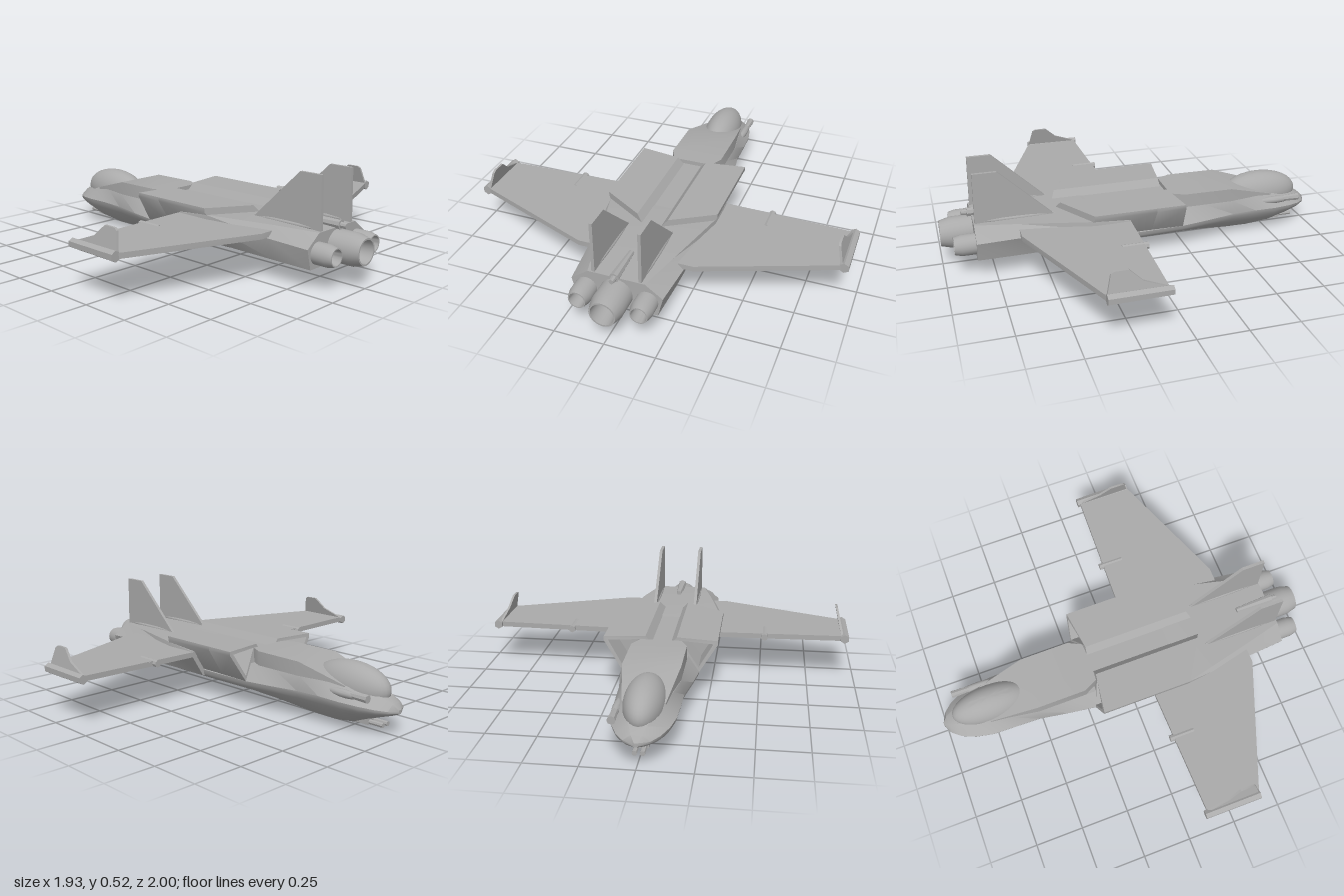
import * as THREE from 'three';
import { toCreasedNormals } from 'three/addons/utils/BufferGeometryUtils.js';

const hullGrey = new THREE.MeshStandardMaterial({ color: 0xaaaaaa, side: THREE.DoubleSide });
hullGrey.name = 'hullGrey';

// Skin a list of rings (counter-clockwise seen from +z, ordered by rising z)
function loft(rings) {
  const n = rings[0].length, pos = rings.flat(2), idx = [];
  for (let i = 0; i < rings.length - 1; i++)
    for (let j = 0; j < n; j++) {
      const a = i * n + j, b = i * n + (j + 1) % n;
      idx.push(a, b, b + n, a, b + n, a + n);
    }
  const e = (rings.length - 1) * n;
  for (let j = 1; j < n - 1; j++) idx.push(0, j + 1, j, e, e + j, e + j + 1);
  const g = new THREE.BufferGeometry();
  g.setAttribute('position', new THREE.Float32BufferAttribute(pos, 3));
  g.setIndex(idx);
  return g;
}

// Full ring from its right half, listed bottom to top as [x, y]
const ring = (z, half) => [
  ...half.map(([x, y]) => [x, y, z]),
  ...half.slice().reverse().map(([x, y]) => [-x, y, z]),
];

const shape = (pts) => new THREE.Shape(pts.map(([a, b]) => new THREE.Vector2(a, b)));
const extrude = (s, depth) => new THREE.ExtrudeGeometry(s, { depth, bevelEnabled: false });

// Flat plate from an [x, z] outline, with its top at y
const flatPlate = (pts, y, t) => extrude(shape(pts), t).rotateX(Math.PI / 2).translate(0, y, 0);
// Upright plate from a [z, y] outline, centred on x
const sidePlate = (pts, x, t) =>
  extrude(shape(pts), t).translate(0, 0, -t / 2).rotateY(-Math.PI / 2).translate(x, 0, 0);
// Rod along z
const rod = (r0, r1, z0, z1, x, y, sides = 12) =>
  new THREE.CylinderGeometry(r1, r0, z1 - z0, sides).rotateX(Math.PI / 2).translate(x, y, (z0 + z1) / 2);
const box = (w, h, d, x, y, z) => new THREE.BoxGeometry(w, h, d).translate(x, y, z);

function bend(g, rule) {
  const p = g.attributes.position;
  for (let i = 0; i < p.count; i++) {
    const v = new THREE.Vector3().fromBufferAttribute(p, i);
    rule(v);
    p.setXYZ(i, v.x, v.y, v.z);
  }
  return g;
}

function mirrored(geo) {
  const g = geo.index ? geo.toNonIndexed() : geo.clone();
  const p = g.attributes.position, a = p.array.slice();
  for (let i = 0; i < p.count; i++) {
    const k = i % 3 === 1 ? i + 1 : i % 3 === 2 ? i - 1 : i;
    p.setXYZ(i, -a[3 * k], a[3 * k + 1], a[3 * k + 2]);
  }
  return g;
}

export function createModel() {
  const model = new THREE.Group();
  const add = (name, geo) => {
    const g = geo.index ? geo.toNonIndexed() : geo;
    g.deleteAttribute('normal');
    g.deleteAttribute('uv');
    const mesh = new THREE.Mesh(toCreasedNormals(g, 0.6), hullGrey);
    mesh.name = name;
    model.add(mesh);
  };
  const addPair = (name, geo) => {
    const other = mirrored(geo);
    add(name + 'Left', geo);
    add(name + 'Right', other);
  };

  // Fuselage: z, top y, top half width, chine y, chine half width, bottom y, roundness
  const stations = [
    [-1, 0.13, 0.006, 0.12, 0.012, 0.11, 1],
    [-0.975, 0.155, 0.025, 0.128, 0.06, 0.1, 1],
    [-0.93, 0.178, 0.04, 0.135, 0.098, 0.085, 1],
    [-0.86, 0.2, 0.06, 0.142, 0.13, 0.06, 1.1],
    [-0.77, 0.213, 0.09, 0.147, 0.15, 0.018, 1.3],
    [-0.65, 0.216, 0.12, 0.15, 0.155, 0.002, 1.35],
    [-0.52, 0.216, 0.14, 0.147, 0.157, 0.004, 1.35],
    [-0.36, 0.216, 0.14, 0.143, 0.182, 0.03, 1.2],
    [-0.22, 0.216, 0.14, 0.14, 0.2, 0.06, 0.95],
    [0, 0.216, 0.14, 0.14, 0.205, 0.068, 0.8],
    [0.3, 0.216, 0.14, 0.14, 0.205, 0.073, 0.7],
    [0.84, 0.21, 0.14, 0.15, 0.205, 0.1, 0.6],
  ];
  add('fuselage', loft(stations.map(([z, ty, tw, cy, cw, by, e]) => {
    const half = [];
    for (let i = 0; i <= 8; i++) {
      const a = Math.PI / 2 * (1 - i / 8);
      half.push([cw * Math.max(Math.cos(a), 0.001) ** e, cy - (cy - by) * Math.sin(a) ** e]);
    }
    half.push([tw, ty]);
    return ring(z, half);
  })));

  // Rear deck with sloping shoulders and undercut sides
  add('rearDeck', loft([
    [0.09, 0.28, 0.25, 0.285, 0.23, 0.21, 0.11],
    [0.27, 0.28, 0.268, 0.285, 0.23, 0.21, 0.11],
    [0.63, 0.195, 0.268, 0.245, 0.215, 0.208, 0.105],
    [0.84, 0.14, 0.262, 0.225, 0.2, 0.2, 0.1],
  ].map(([z, tw, ty, sw, sy, bw, by]) => ring(z, [[bw, by], [sw, sy], [tw, ty]]))));
  add('centreChannel', box(0.2, 0.1, 0.66, 0, 0.216, 0.14));

  // Canopy and the raised block behind it
  add('canopy', new THREE.SphereGeometry(1, 32, 20).scale(0.096, 0.113, 0.215).translate(0, 0.195, -0.725));
  add('neckBlock', loft([
    [-0.76, 0.1, 0.212], [-0.51, 0.14, 0.286], [-0.25, 0.14, 0.288], [-0.18, 0.105, 0.288],
  ].map(([z, w, y]) => ring(z, [[w, 0.19], [w, y]]))));

  // Intakes: hollow raked mouths, tapering to a swept rear edge
  const section = [[0.045, 0.262], [0.2, 0.14], [0.29, 0.282], [0.29, 0.302], [0.08, 0.302]];
  const mouth = shape(section);
  mouth.holes.push(new THREE.Path([[0.1, 0.285], [0.268, 0.285], [0.196, 0.165]]
    .map(([x, y]) => new THREE.Vector2(x, y))));
  const rake = (v) => -0.2 + 0.12 * (0.302 - v.y) * -1 + (v.x < 0.15 ? 0.03 : 0);
  addPair('intakeMouth', bend(extrude(mouth, 1), (v) => { v.z = v.z < 0.5 ? rake(v) : -0.05; }));
  addPair('intakeBody', bend(extrude(shape(section), 1), (v) => {
    v.z = v.z < 0.5 ? -0.05 : 0.42 - (v.x - 0.045) * 0.61;
  }));

  // Wings, tip rails, winglets and small pods
  addPair('wing', flatPlate([[0.15, 0.085], [0.29, 0.085], [0.95, 0.105], [0.95, 0.375], [0.29, 0.63], [0.15, 0.63]], 0.247, 0.027));
  addPair('tipRail', rod(0.024, 0.026, 0.09, 0.385, 0.94, 0.234, 6));
  addPair('winglet', bend(
    sidePlate([[0.385, 0.235], [0.36, 0.335], [0.345, 0.345], [0.28, 0.345], [0.22, 0.29], [0.1, 0.245]], 0.93, 0.012),
    (v) => { v.x -= (v.y - 0.235) * 0.24; }));
  addPair('podCore', rod(0.018, 0.018, 0.07, 0.2, 0.52, 0.233, 8));
  for (const dx of [-0.028, 0.028])
    addPair('podRail', rod(0.011, 0.011, 0.09, 0.25, 0.52 + dx, 0.236, 6));

  // Tail fins with fairings, and the spine boom
  addPair('tailFin', sidePlate([[0.835, 0.25], [0.83, 0.522], [0.71, 0.522], [0.44, 0.265], [0.44, 0.25]], 0.115, 0.016));
  addPair('finFairing', new THREE.SphereGeometry(1, 12, 8).scale(0.014, 0.014, 0.2).translate(0.115, 0.268, 0.63));
  add('spineBoom', rod(0.014, 0.024, 0.66, 0.86, 0, 0.275, 8));
  add('spineBoomTip', rod(0.015, 0.012, 0.86, 0.89, 0, 0.275, 8));

  // Hollow engine nozzles
  const nozzle = (r, len, x, y) => new THREE.LatheGeometry([
    [r, -0.04], [r, len * 0.66], [r * 0.82, len], [r * 0.72, len], [r * 0.6, len * 0.35], [0.001, len * 0.35],
  ].map(([a, b]) => new THREE.Vector2(a, b)), 24).rotateX(Math.PI / 2).translate(x, y, 0.84);
  add('mainNozzle', nozzle(0.079, 0.16, 0, 0.175));
  addPair('sideNozzle', nozzle(0.053, 0.105, 0.15, 0.17));

  // Chin gun and side probe
  add('chinMount', box(0.07, 0.04, 0.1, 0, 0.05, -0.8));
  addPair('chinBarrel', rod(0.012, 0.012, -0.925, -0.78, 0.018, 0.042, 8));
  add('sideProbe', rod(0.02, 0.015, -0.91, -0.8, 0.12, 0.185, 8));
  add('sideProbeFairing', new THREE.SphereGeometry(1, 12, 8).scale(0.02, 0.02, 0.1).translate(0.12, 0.183, -0.77));
  return model;
}
